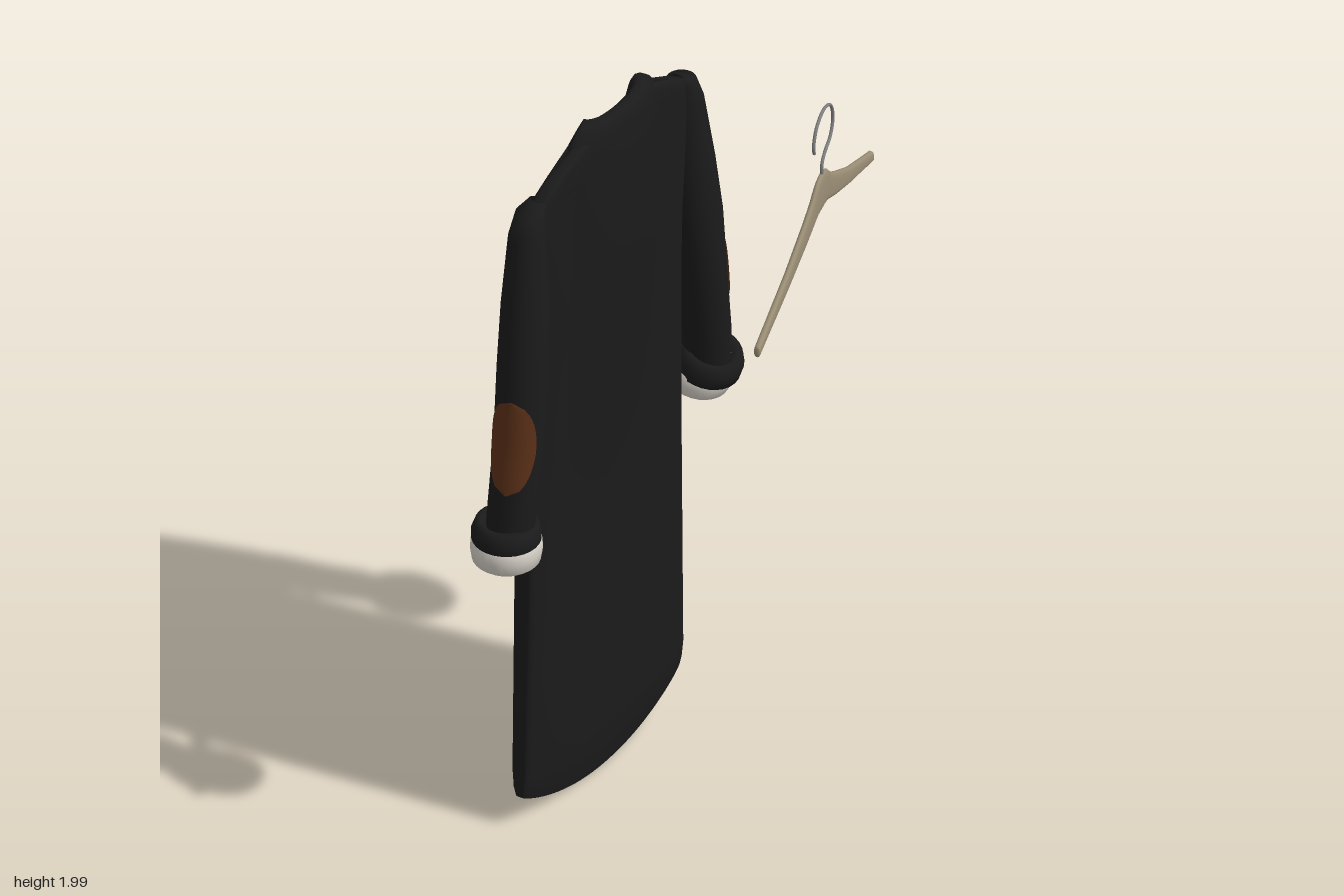
import * as THREE from 'three';

const mat = (name, color) => {
  const m = new THREE.MeshStandardMaterial({ color, side: THREE.DoubleSide });
  m.name = name;
  return m;
};
const lerp = THREE.MathUtils.lerp;
const spow = (v, e) => Math.sign(v) * Math.abs(v) ** e;

// Skin a list of rings (arrays of [x, y, z]); closed rings share their seam
function loft(rings, closed = true) {
  const n = rings[0].length, index = [];
  for (let i = 0; i < rings.length - 1; i++) {
    for (let j = 0; j < (closed ? n : n - 1); j++) {
      const a = i * n + j, b = i * n + (j + 1) % n;
      index.push(a, a + n, b, b, a + n, b + n);
    }
  }
  const g = new THREE.BufferGeometry();
  g.setAttribute('position', new THREE.Float32BufferAttribute(rings.flat(2), 3));
  g.setIndex(index);
  g.computeVertexNormals();
  return g;
}
const ring = (n, f) => Array.from({ length: n }, (_, i) => f(i / n * Math.PI * 2));
const span = (n, a, b, f) => Array.from({ length: n + 1 }, (_, i) => f(lerp(a, b, i / n)));

// Interpolate a table whose first column rises or falls
function sample(rows, k) {
  const up = rows[1][0] > rows[0][0];
  let i = 0;
  while (i < rows.length - 2 && (up ? k > rows[i + 1][0] : k < rows[i + 1][0])) i++;
  const t = (k - rows[i][0]) / (rows[i + 1][0] - rows[i][0]);
  return rows[i].map((v, c) => lerp(v, rows[i + 1][c], t));
}

// Body: height, half width, front x, back x, hem curve, neckline drop, back bulge, fold strength
const BODY = [
  [0.01, 0.31, -0.318, -0.274, 0.08, 0, 0, 0.6], [0.05, 0.311, -0.326, -0.266, 0.06, 0, 0, 0.8],
  [0.13, 0.31, -0.331, -0.258, 0.02, 0, 0, 1], [0.4, 0.304, -0.332, -0.255, 0, 0, 0, 1],
  [0.8, 0.296, -0.332, -0.252, 0, 0, 0, 1], [1.2, 0.288, -0.332, -0.245, 0, 0, 0.015, 1],
  [1.35, 0.285, -0.328, -0.24, 0, 0, 0.025, 0.9], [1.5, 0.297, -0.32, -0.238, 0, 0.04, 0.028, 0.5],
  [1.62, 0.315, -0.315, -0.24, 0, 0.12, 0.028, 0.2], [1.68, 0.295, -0.304, -0.24, 0, 0.16, 0.026, 0],
  [1.72, 0.235, -0.296, -0.238, 0, 0.18, 0.022, 0], [1.76, 0.165, -0.288, -0.234, 0, 0.2, 0.014, 0],
  [1.785, 0.11, -0.284, -0.23, 0, 0.22, 0.006, 0],
];
// Soft vertical folds across the front: z, offset in x
const FOLDS = [[-0.3, -0.008], [-0.25, -0.009], [-0.15, 0.012], [-0.03, -0.008],
  [0.1, 0.01], [0.2, -0.014], [0.255, -0.028], [0.315, -0.01]];

function bodyPoint([y, w, front, back, hem, drop, bulge, fold], t) {
  const c = spow(Math.cos(t), 0.5), z = w * spow(Math.sin(t), 0.8);
  const v = c < 0 ? drop * Math.max(0, 1 - Math.abs(z) / 0.13) : 0;
  const f = front + fold * sample(FOLDS, z)[1] - 0.15 * v;
  const b = back + bulge * Math.max(0, 1 - (z / 0.18) ** 2);
  const mid = (front + back) / 2;
  return [mid + (c < 0 ? -c * (f - mid) : c * (b - mid)), y + hem * (z / w) ** 2 - v, z];
}

// Sleeve: height, centre z, half depth z, centre x, half width x
const SLEEVE = [
  [1.695, 0.272, 0.01, -0.275, 0.02], [1.675, 0.295, 0.035, -0.277, 0.034],
  [1.62, 0.309, 0.043, -0.277, 0.042], [1.45, 0.325, 0.055, -0.272, 0.053],
  [1.3, 0.34, 0.06, -0.267, 0.057], [1.1, 0.36, 0.054, -0.265, 0.057],
  [0.95, 0.38, 0.052, -0.267, 0.056], [0.87, 0.385, 0.05, -0.272, 0.055],
];
const sleevePoint = ([y, zc, rz, xc, rx], a, side, off = 0) =>
  [xc + (rx + off) * Math.sin(a), y, side * (zc + (rz + off) * Math.cos(a))];

export function createModel() {
  const cloth = mat('black cloth', 0x1b1b1b);
  const suede = mat('brown suede', 0x5e3219);
  const lining = mat('pale lining', 0xd6d0c7);
  const wood = mat('pale wood', 0x9c8f76);
  const steel = mat('steel', 0x808080);

  const model = new THREE.Group();
  const coat = new THREE.Group();
  const hanger = new THREE.Group();
  coat.name = 'coat';
  hanger.name = 'hanger';
  model.add(coat, hanger);
  const add = (parent, name, geo, m) => {
    const mesh = new THREE.Mesh(geo, m);
    mesh.name = name;
    parent.add(mesh);
    return mesh;
  };

  // Open tube with a curved hem and a V neckline
  add(coat, 'body', loft(BODY.map(r => ring(96, t => bodyPoint(r, t)))), cloth);

  // Button strip down the front
  add(coat, 'placket', loft(span(24, 0.012, 1.5, k => {
    const [x, y] = bodyPoint(sample(BODY, k), Math.PI);
    return [[x + 0.004, y, -0.024], [x - 0.004, y, -0.02], [x - 0.004, y, 0.02], [x + 0.004, y, 0.024]];
  }), false), cloth);

  // Folded collar, high at the back with points at the front
  add(coat, 'collar', loft(span(48, -2.95, 2.95, t => {
    const c = Math.cos(t), s = Math.sin(t), f = Math.max(0, -c) ** 1.5;
    const y = 1.812 - 0.21 * f;
    return [
      [-0.28 + 0.018 * c - 0.01 * f, y - 0.08, 0.084 * s],
      [-0.272 + 0.024 * c - 0.005 * f, y - 0.012, 0.088 * s],
      [-0.268 + 0.034 * c, y, 0.1 * s],
      [-0.267 + 0.046 * c, y - 0.008, 0.12 * s],
      [-0.268 + 0.056 * c, y - 0.03 - 0.02 * f, 0.148 * s + 0.015 * f * Math.sign(s)],
      [-0.27 + 0.06 * c - 0.006 * f, y - 0.068 - 0.05 * f, 0.163 * s + 0.03 * f * Math.sign(s)],
    ];
  }), false), cloth);

  for (const side of [1, -1]) {
    const label = side > 0 ? 'front' : 'rear';
    add(coat, label + 'Sleeve',
      loft(SLEEVE.map(r => ring(28, a => sleevePoint(r, a, side)))), cloth);

    // Oval elbow patch lying on the outside of the sleeve
    const turn = side > 0 ? 0.2 : -0.2;
    add(coat, label + 'ElbowPatch', loft(span(16, -1, 1, v => {
      const r = sample(SLEEVE, 1.115 + 0.12 * v);
      const half = Math.max(0.02, 1.05 * Math.sqrt(1 - v * v));
      return span(14, -half, half, a => sleevePoint(r, turn + a, side, 0.004));
    }), false), suede);

    // Turned-up cuff with the lining showing below; the rear one hangs tilted
    const cuff = new THREE.Group();
    cuff.name = label + 'Cuff';
    cuff.position.set(side > 0 ? -0.28 : -0.285, side > 0 ? 0.84 : 0.85, side * 0.386);
    cuff.rotation.z = side > 0 ? 0 : -0.3;
    coat.add(cuff);
    const lathe = (name, profile, m) => add(cuff, name,
      new THREE.LatheGeometry(profile.map(p => new THREE.Vector2(...p)), 28), m);
    const roll = lathe('cuffRoll', [[0.066, -0.005], [0.077, 0.003], [0.078, 0.03],
      [0.07, 0.052], [0.058, 0.06], [0.045, 0.045]], cloth);
    roll.position.x = side > 0 ? 0 : 0.014;
    lathe('cuffLining', [[0, -0.005], [0.045, -0.01], [0.052, -0.043], [0.064, -0.052],
      [0.076, -0.042], [0.08, -0.015], [0.078, 0.01], [0.066, 0.022]], lining);
  }

  // Hanger arms: distance from centre, top, bottom
  const ARM = [[0, 1.836, 1.742], [0.03, 1.825, 1.738], [0.06, 1.792, 1.722],
    [0.1, 1.763, 1.702], [0.2, 1.7, 1.657], [0.368, 1.616, 1.589]];
  const hangerX = z => 0.29 + (z < 0 ? 0.326 : 0.206) * z;
  const section = (z, k = 1) => {
    const [, top, bottom] = sample(ARM, Math.abs(z));
    return ring(16, t => [hangerX(z) + k * 0.008 * spow(Math.cos(t), 0.7),
      (top + bottom) / 2 + k * (top - bottom) / 2 * spow(Math.sin(t), 0.7), z]);
  };
  add(hanger, 'hangerArms', loft([section(-0.38, 0.01), section(-0.379, 0.85),
    ...span(48, -0.376, 0.366, z => section(z)),
    section(0.369, 0.85), section(0.37, 0.01)]), wood);

  // Wire hook in the plane of the hanger
  const hook = [[0, 1.82], [0, 1.855], [-0.02, 1.876], [-0.055, 1.893], [-0.073, 1.93],
    [-0.056, 1.977], [-0.01, 1.996], [0.036, 1.978], [0.054, 1.94], [0.05, 1.92]]
    .map(([z, y]) => new THREE.Vector3(0.29 + 0.27 * z, y, z));
  add(hanger, 'hook',
    new THREE.TubeGeometry(new THREE.CatmullRomCurve3(hook), 48, 0.0038, 8), steel);

  return model;
}
